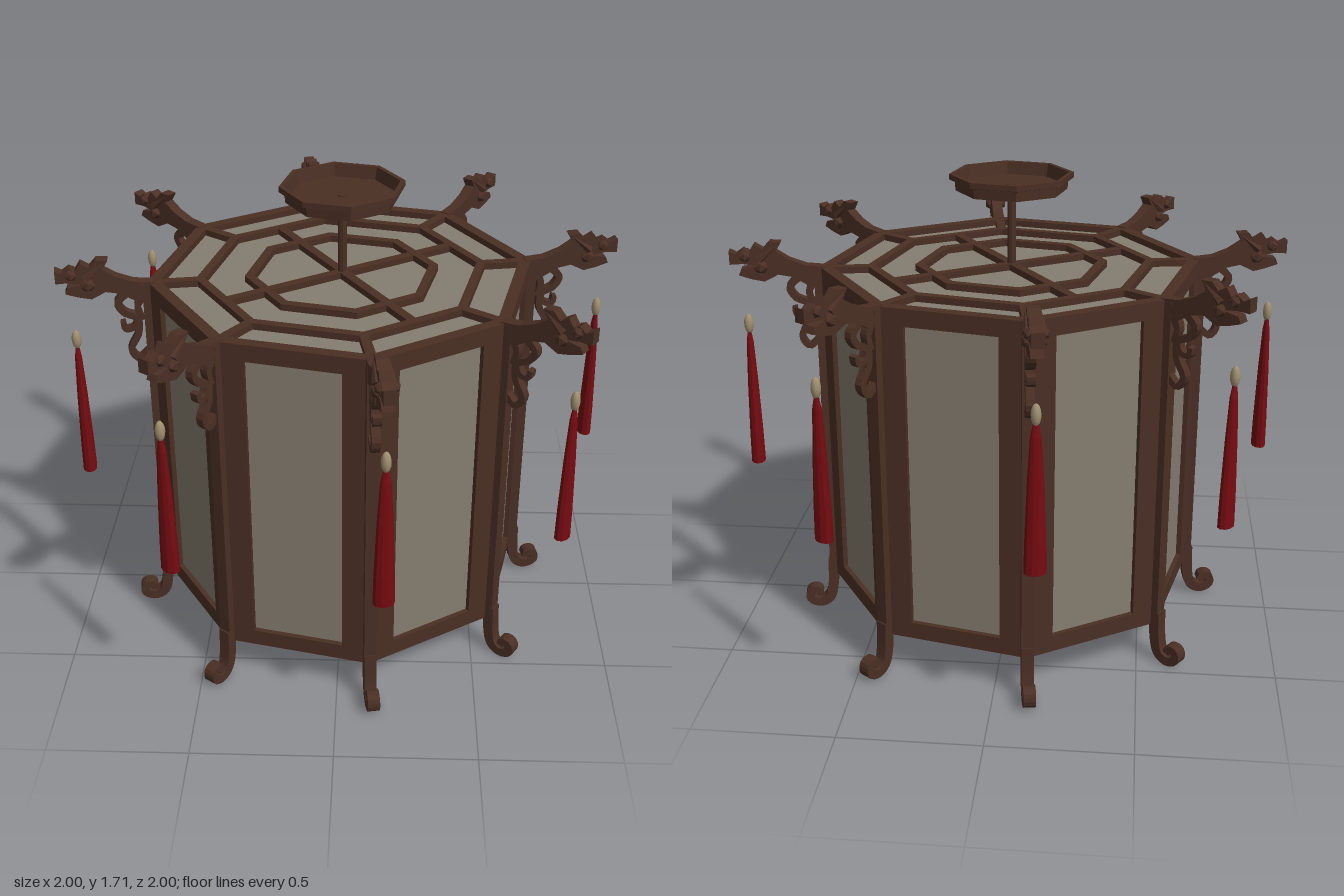
import * as THREE from 'three';

const wood = new THREE.MeshStandardMaterial({ color: 0x4a2f24 });
wood.name = 'dark wood';
const paper = new THREE.MeshStandardMaterial({ color: 0x857d70 });
paper.name = 'grey paper';
const red = new THREE.MeshStandardMaterial({ color: 0x760c11 });
red.name = 'red silk';
const tan = new THREE.MeshStandardMaterial({ color: 0xa09070 });
tan.name = 'tan bead';
for (const m of [wood, paper, red, tan]) m.flatShading = m !== tan;

const SIDES = 8, STEP = Math.PI / 4;
const R = 0.695, APOTHEM = R * Math.cos(STEP / 2), SIDE = 2 * R * Math.sin(STEP / 2);
const BOTTOM = 0.15, TOP = 1.38;

function add(parent, name, geometry, material, x = 0, y = 0, z = 0) {
  const mesh = new THREE.Mesh(geometry, material);
  mesh.name = name;
  mesh.position.set(x, y, z);
  parent.add(mesh);
  return mesh;
}

const vecs = (pts) => pts.map(([x, y]) => new THREE.Vector2(x, y));
const octagon = (r) => Array.from({ length: SIDES }, (_, i) =>
  new THREE.Vector2(r * Math.cos(i * STEP), r * Math.sin(i * STEP)));
const rect = (w, y0, y1) => vecs([[-w / 2, y0], [w / 2, y0], [w / 2, y1], [-w / 2, y1]]);

// Flat outline, optionally with a hole, given a thickness centred on z = 0
function slab(outline, depth, hole) {
  const shape = new THREE.Shape(outline);
  if (hole) shape.holes.push(new THREE.Path(hole));
  return new THREE.ExtrudeGeometry(shape, { depth, bevelEnabled: false })
    .translate(0, 0, -depth / 2);
}

// Carved strip that follows a curve and tapers from width w0 to w1
function scroll(pts, w0, w1, depth) {
  const curve = new THREE.SplineCurve(vecs(pts));
  const n = pts.length * 3, left = [], right = [];
  for (let i = 0; i <= n; i++) {
    const p = curve.getPoint(i / n), t = curve.getTangent(i / n);
    const h = THREE.MathUtils.lerp(w0, w1, i / n) / 2;
    left.push(new THREE.Vector2(p.x - t.y * h, p.y + t.x * h));
    right.unshift(new THREE.Vector2(p.x + t.y * h, p.y - t.x * h));
  }
  return slab([...left, ...right], depth);
}

// Octagonal lattice with paper behind it, used for roof and floor
function lattice(name, y, paperY) {
  const g = new THREE.Group();
  g.name = name;
  const bar = 0.034, h = 0.03;
  for (const [r, w] of [[R, 0.045], [0.525, bar], [0.35, bar]]) {
    const ring = slab(octagon(r), h, octagon(r - w)).rotateX(-Math.PI / 2);
    add(g, name + 'Ring', ring, wood, 0, y, 0);
  }
  for (let i = 0; i < SIDES; i++) {
    const a = i * STEP, mid = 0.585;
    const strut = add(g, name + 'Strut', new THREE.BoxGeometry(0.17, h, bar), wood,
      mid * Math.cos(a), y, -mid * Math.sin(a));
    strut.rotation.y = a;
  }
  for (const a of [1.5, 3.5]) {
    const cross = add(g, name + 'CrossBar', new THREE.BoxGeometry(0.95, h - 0.002, bar), wood, 0, y, 0);
    cross.rotation.y = -a * STEP;
  }
  add(g, name + 'Paper', new THREE.CylinderGeometry(R - 0.03, R - 0.03, 0.008, SIDES), paper, 0, paperY, 0);
  return g;
}

// One wall: wooden frame with a recessed paper panel
function wall() {
  const g = new THREE.Group();
  g.name = 'wall';
  const frame = slab(rect(SIDE, BOTTOM, TOP), 0.035, rect(0.33, 0.21, 1.32)).rotateY(Math.PI / 2);
  add(g, 'wallFrame', frame, wood, APOTHEM - 0.0175);
  add(g, 'wallPaper', new THREE.BoxGeometry(0.008, 1.13, 0.35), paper, APOTHEM - 0.022, 0.765);
  return g;
}

const headOutline = vecs([
  [0.67, 1.31], [0.74, 1.32], [0.79, 1.35], [0.84, 1.36], [0.89, 1.335], [0.935, 1.345],
  [0.98, 1.36], [0.97, 1.383], [0.91, 1.393], [0.965, 1.402], [1.01, 1.4], [1.01, 1.45],
  [0.985, 1.437], [0.96, 1.455], [0.94, 1.442], [0.92, 1.472], [0.89, 1.453], [0.865, 1.48],
  [0.825, 1.478], [0.845, 1.445], [0.8, 1.415], [0.74, 1.392], [0.67, 1.385]]);

// Everything at one corner: post, curled foot, carved head, bracket and tassel
function corner() {
  const g = new THREE.Group();
  g.name = 'corner';
  add(g, 'cornerPost', new THREE.BoxGeometry(0.05, TOP - BOTTOM, 0.044), wood, 0.688, (TOP + BOTTOM) / 2);
  add(g, 'curledFoot', scroll([[0.698, 0.2], [0.703, 0.1], [0.718, 0.04], [0.755, 0.018],
    [0.793, 0.033], [0.792, 0.066], [0.764, 0.07], [0.757, 0.05]], 0.042, 0.026, 0.044), wood);
  add(g, 'carvedHead', slab(headOutline, 0.042), wood);

  // Brows, cheeks and crest stand out from the sides of the head
  for (const s of [-1, 1]) {
    add(g, 'brow', new THREE.IcosahedronGeometry(0.022, 0), wood, 0.955, 1.43, s * 0.02);
    add(g, 'cheek', new THREE.IcosahedronGeometry(0.028, 0), wood, 0.9, 1.39, s * 0.016);
    const horn = add(g, 'horn', new THREE.ConeGeometry(0.016, 0.09, 5), wood, 0.87, 1.445, s * 0.024);
    horn.rotation.z = 0.9;
  }

  // Scrolled bracket below the neck
  add(g, 'bracketScroll', scroll([[0.705, 1.115], [0.742, 1.085], [0.768, 1.125], [0.738, 1.185],
    [0.738, 1.245], [0.782, 1.27], [0.803, 1.31], [0.77, 1.345]], 0.022, 0.026, 0.03), wood);
  add(g, 'bracketCurl', scroll([[0.735, 1.25], [0.75, 1.212], [0.783, 1.205], [0.79, 1.235]],
    0.022, 0.018, 0.03), wood);
  add(g, 'bracketStem', scroll([[0.715, 1.33], [0.735, 1.29], [0.72, 1.24]], 0.03, 0.016, 0.03), wood);

  // Tassel, flatter along the arm than across it
  const skirt = new THREE.LatheGeometry(vecs([[0, 0.63], [0.037, 0.63], [0.035, 0.74],
    [0.027, 0.95], [0.018, 1.1], [0.008, 1.15], [0, 1.15]]), 10);
  add(g, 'tassel', skirt, red, 0.96).scale.x = 0.7;
  add(g, 'tasselBead', new THREE.SphereGeometry(0.017, 10, 8), tan, 0.96, 1.172).scale.y = 2.2;
  return g;
}

export function createModel() {
  const model = new THREE.Group();
  model.name = 'lantern';
  const body = new THREE.Group();
  body.name = 'lanternBody';
  body.rotation.y = THREE.MathUtils.degToRad(9.8);
  model.add(body);

  for (let i = 0; i < SIDES; i++) {
    const c = corner(), w = wall();
    c.rotation.y = i * STEP;
    w.rotation.y = (i + 0.5) * STEP;
    body.add(c, w);
  }
  body.add(lattice('roof', TOP - 0.013, TOP - 0.026));
  body.add(lattice('floor', BOTTOM + 0.013, BOTTOM + 0.026));

  // Hanging rod and ceiling dish
  add(body, 'hangingRod', new THREE.CylinderGeometry(0.016, 0.016, 0.31, 8), wood, 0, 1.515);
  const dish = new THREE.LatheGeometry(vecs([[0, 1.65], [0.2, 1.65], [0.203, 1.685], [0.222, 1.69],
    [0.222, 1.71], [0.205, 1.71], [0.195, 1.665], [0, 1.665]]), SIDES);
  add(body, 'ceilingDish', dish, wood);
  return model;
}
